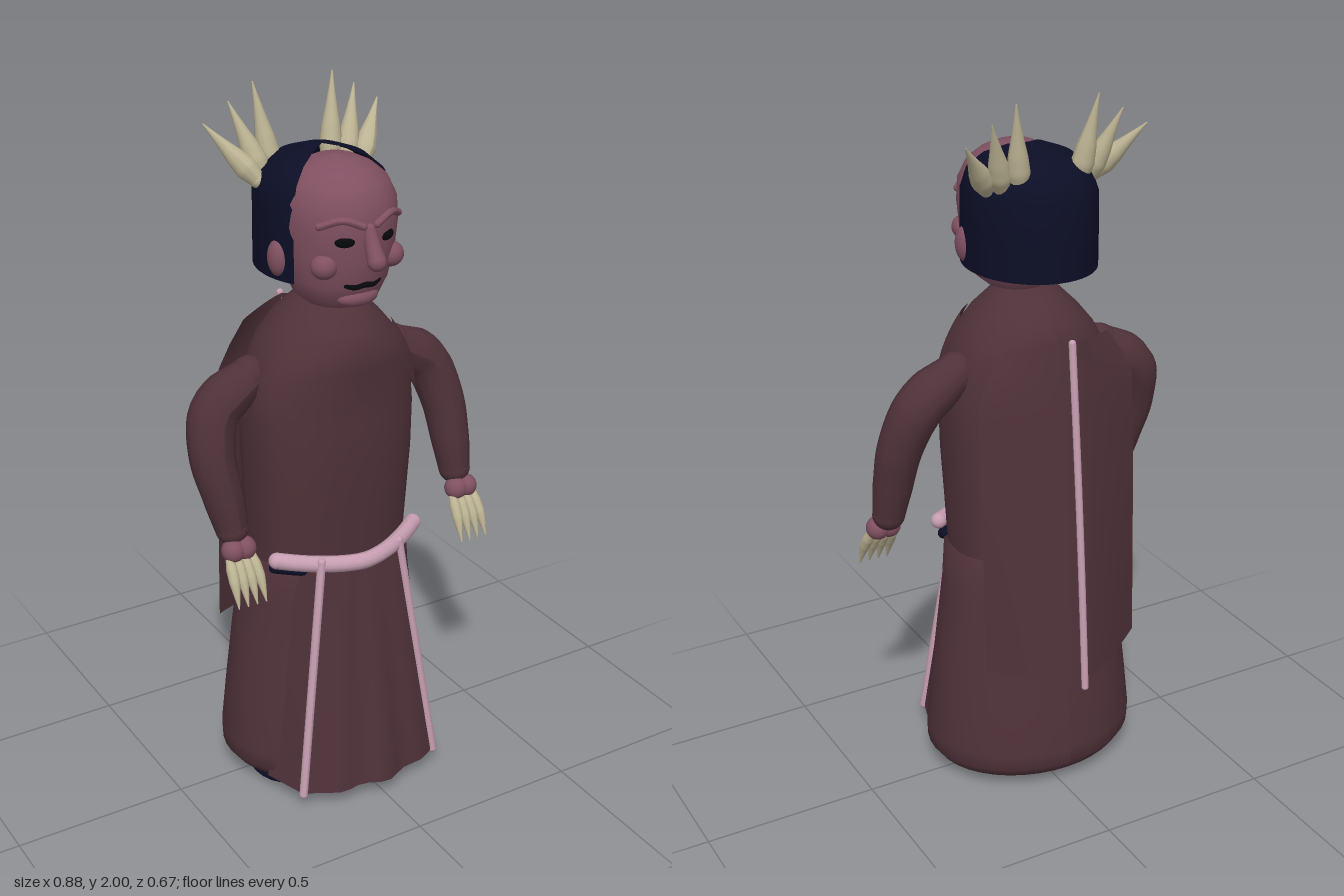
import * as THREE from 'three';

const mat = (name, color, side = THREE.FrontSide) => {
  const m = new THREE.MeshStandardMaterial({ color, side });
  m.name = name;
  return m;
};
const V = (x, y, z) => new THREE.Vector3(x, y, z);
const { lerp, smoothstep } = THREE.MathUtils;

// Depth of the robe relative to its width, and its forward shift, by height
const robeDepth = y => lerp(lerp(0.81, 0.71, smoothstep(y, 0.1, 0.75)), 1.05, smoothstep(y, 1.2, 1.42));
const robeShift = y => 0.02 * smoothstep(y, 0.5, 1.0);
// Slight squareness of the robe's section around the torso
const square = (a, y) => {
  const k = (Math.abs(Math.sin(a)) ** 2.5 + Math.abs(Math.cos(a)) ** 2.5) ** -0.4;
  return lerp(1, k, smoothstep(y, 0.5, 0.75) * (1 - smoothstep(y, 1.2, 1.4)));
};

export function createModel() {
  const robe = mat('maroon cloth', 0x4f3239, THREE.DoubleSide);
  const skin = mat('mauve skin', 0x805061);
  const hairMat = mat('navy', 0x0c0e26, THREE.DoubleSide);
  const pink = mat('pink trim', 0xc59db0);
  const bone = mat('bone', 0xbcb393);
  const black = mat('black', 0x07080c);

  const model = new THREE.Group();
  const body = new THREE.Group();
  body.name = 'figure';
  body.position.x = -0.02;
  model.add(body);

  const add = (name, geo, material) => {
    const m = new THREE.Mesh(geo, material);
    m.name = name;
    body.add(m);
    return m;
  };
  const ball = (name, material, p, r) => {
    const m = add(name, new THREE.SphereGeometry(1, 20, 14), material);
    m.position.set(...p);
    m.scale.set(...r);
    return m;
  };
  // Tube whose rings follow a list of radii, closed with balls at its ends
  const limb = (name, pts, radii, material) => {
    const c = new THREE.CatmullRomCurve3(pts), n = 24, s = 12;
    const geo = new THREE.TubeGeometry(c, n, 1, s);
    const pos = geo.attributes.position, v = V(0, 0, 0);
    for (let k = 0; k < pos.count; k++) {
      const t = Math.floor(k / (s + 1)) / n, f = t * (radii.length - 1);
      const i = Math.min(Math.floor(f), radii.length - 2);
      const r = lerp(radii[i], radii[i + 1], f - i), p = c.getPointAt(t);
      v.fromBufferAttribute(pos, k).sub(p).multiplyScalar(r).add(p);
      pos.setXYZ(k, v.x, v.y, v.z);
    }
    geo.computeVertexNormals();
    add(name, geo, material);
    ball(name + 'Start', material, pts[0].toArray(), Array(3).fill(radii[0]));
    ball(name + 'End', material, pts[pts.length - 1].toArray(), Array(3).fill(radii[radii.length - 1]));
  };
  const bar = (name, pts, r, material) => limb(name, pts, [r, r], material);
  // Grid surface from a rule f(u, v), u in -1..1 and v in 0..1
  const sheet = (name, f, material) => {
    const geo = new THREE.PlaneGeometry(2, 1, 14, 14), pos = geo.attributes.position;
    for (let k = 0; k < pos.count; k++) pos.setXYZ(k, ...f(pos.getX(k), 0.5 - pos.getY(k)));
    geo.computeVertexNormals();
    add(name, geo, material);
  };
  // Point on the robe at radius r, angle a from the front and height y
  const onRobe = (r, a, y) => {
    const q = r * square(a, y);
    return [q * Math.sin(a), y, q * Math.cos(a) * robeDepth(y) + robeShift(y)];
  };
  const robeLathe = (name, pts) => {
    const geo = new THREE.LatheGeometry(pts.map(p => new THREE.Vector2(...p)), 40, Math.PI);
    const pos = geo.attributes.position;
    for (let k = 0; k < pos.count; k++) {
      const x = pos.getX(k), z = pos.getZ(k);
      pos.setXYZ(k, ...onRobe(Math.hypot(x, z), Math.atan2(x, z), pos.getY(k)));
    }
    geo.computeVertexNormals();
    add(name, geo, robe);
  };

  // Robe
  robeLathe('skirt', [[0, 0.035], [0.24, 0.03], [0.29, 0.045], [0.312, 0.075], [0.314, 0.12], [0.3, 0.26],
    [0.28, 0.45], [0.258, 0.6], [0.242, 0.71], [0.2, 0.73]]);
  robeLathe('torso', [[0.232, 0.68], [0.235, 0.85], [0.242, 1.0], [0.244, 1.12], [0.238, 1.2], [0.222, 1.28],
    [0.19, 1.34], [0.15, 1.39], [0.1, 1.44], [0.06, 1.457], [0, 1.46]]);

  // Front apron with waves, edge trims and returns back to the skirt
  const apron = (u, v) => [u * lerp(0.125, 0.22, v), lerp(0.75, 0.05, v),
    lerp(0.205, 0.262, v) + (1 - u * u) * (lerp(0.015, 0.058, v) + 0.012 * v * Math.cos(u * 9 - 1))];
  sheet('apron', apron, robe);

  for (const s of [-1, 1]) {
    bar('apronTrim', [0, 0.5, 1].map(v => V(...apron(s, v))), 0.012, pink);
    sheet('apronSide', (u, v) => {
      const [x, y, z] = apron(s, v), t = (u + 1) / 2;
      return [lerp(x, s * lerp(0.18, 0.262, v), t), y, lerp(z, lerp(0.1, 0.13, v), t)];
    }, robe);
    // Pointed shoulder lapels lying on the torso
    sheet('lapel', (u, v) => onRobe(1.05 * (0.24 - 0.072 * (1 - v) ** 2),
      s * lerp(lerp(0.58, 0.92, v * v), 1.3, (u + 1) / 2), lerp(1.37, 1.165, v)), robe);
    ball('foot', hairMat, [0.18 * s, 0.032, 0.06], [0.088, 0.032, 0.112]);
  }

  // Belt and dark sash below it
  const arc = (rx, y, zEnd, zMid) => Array.from({ length: 11 }, (_, i) => {
    const t = i / 5 - 1, a = Math.abs(t);
    return V(t * rx, y + 0.012 * a * a, lerp(zMid, zEnd, a ** 1.6));
  });
  bar('belt', arc(0.222, 0.734, 0.128, 0.23), 0.023, pink);
  bar('sash', arc(0.218, 0.702, 0.108, 0.205), 0.016, hairMat);

  // Back cape, cut in at the shoulders, and its centre trim
  const cape = (u, v) => {
    const a = Math.abs(u);
    const bulge = 0.005 * Math.sin(v * Math.PI);
    return [u * lerp(0.15, 0.24, smoothstep(v, -0.05, 0.16)), lerp(1.37 - 0.02 * a, 0.37 + 0.05 * a, v),
      -lerp(lerp(0.222, 0.315, v) + bulge, lerp(0.145, 0.19, v) + bulge, Math.pow(a, 1.3))];
  };
  sheet('cape', cape, robe);
  bar('capeTrim', [0, 0.25, 0.5, 0.75, 1].map(v => V(...cape(0, v)).add(V(0, 0, -0.01))), 0.01, pink);

  // Arms, hands and claws
  const arm = (shoulder, upper, elbow, fore, wrist) => {
    limb('sleeve', [shoulder, upper, elbow, fore, wrist], [0.055, 0.068, 0.068, 0.064, 0.06, 0.055, 0.046], robe);
    const h = wrist.clone().add(V(0.004, -0.054, 0.025));
    for (const s of [-1, 1])
      ball('hand', skin, [h.x + 0.017 * s, h.y + 0.003, h.z + 0.005], [0.033, 0.034, 0.034]);
    for (let i = 0; i < 4; i++) {
      const k = i - 1.5;
      limb('claw', [V(h.x + k * 0.022, h.y - 0.01, h.z + 0.01), V(h.x + k * 0.026, 0.715, 0.138),
        V(h.x + k * 0.028, 0.655, 0.165)], [0.01, 0.016, 0.015, 0.009, 0.002], bone);
    }
  };
  arm(V(0.225, 1.252, 0), V(0.335, 1.18, -0.005), V(0.385, 1.06, 0.02), V(0.4, 0.94, 0.045), V(0.409, 0.844, 0.06));
  arm(V(-0.225, 1.252, 0), V(-0.33, 1.17, -0.005), V(-0.355, 1.06, 0.02), V(-0.338, 0.94, 0.045), V(-0.322, 0.844, 0.06));

  // Head
  const head = add('head', new THREE.LatheGeometry([[0, 1.455], [0.085, 1.457], [0.113, 1.48], [0.135, 1.53],
    [0.15, 1.6], [0.158, 1.68], [0.154, 1.74], [0.132, 1.787], [0.097, 1.817], [0.055, 1.837], [0, 1.845]]
    .map(p => new THREE.Vector2(...p)), 32, Math.PI), skin);
  head.position.z = 0.07;
  head.scale.z = 1.07;

  // Hair shell, open over the face
  const hair = add('hair', new THREE.LatheGeometry([[0.178, 1.53], [0.178, 1.62], [0.177, 1.73], [0.158, 1.785],
    [0.115, 1.823], [0.055, 1.846], [0, 1.854]].map(p => new THREE.Vector2(...p)), 32, 1, Math.PI * 2 - 2), hairMat);
  hair.scale.z = 1.15;

  // Face
  for (const s of [-1, 1]) {
    ball('ear', skin, [0.163 * s, 1.588, 0.052], [0.027, 0.05, 0.034]);
    ball('cheek', skin, [0.1 * s, 1.59, 0.178], [0.036, 0.034, 0.035]);
    ball('eye', black, [0.063 * s, 1.66, 0.217], [0.027, 0.015, 0.012]).rotation.y = 0.45 * s;
    bar('brow', [V(0.02 * s, 1.7, 0.238), V(0.07 * s, 1.718, 0.22), V(0.118 * s, 1.7, 0.183)], 0.01, skin);
    bar('moustache', [V(0, 1.535, 0.213), V(0.028 * s, 1.531, 0.207), V(0.048 * s, 1.537, 0.199)], 0.009, black);
  }
  limb('nose', [V(0, 1.69, 0.235), V(0, 1.65, 0.25), V(0, 1.612, 0.27)], [0.015, 0.021, 0.025], skin);
  ball('chin', skin, [0, 1.492, 0.175], [0.062, 0.028, 0.036]);

  // Crown spikes, three to a side
  const spikes = [[0.088, -0.105, 0.12, 1.997, -0.148], [0.127, -0.085, 0.19, 1.953, -0.152], [0.158, -0.06, 0.264, 1.905, -0.152]];
  for (const s of [-1, 1])
    for (const [bx, bz, tx, ty, tz] of spikes) {
      const base = V(bx * s, 1.765, bz), tip = V(tx * s, ty, tz);
      limb('crownSpike', [base, base.clone().lerp(tip, 0.5), tip], [0.022, 0.031, 0.026, 0.017, 0.009, 0.002], bone);
    }

  return model;
}
